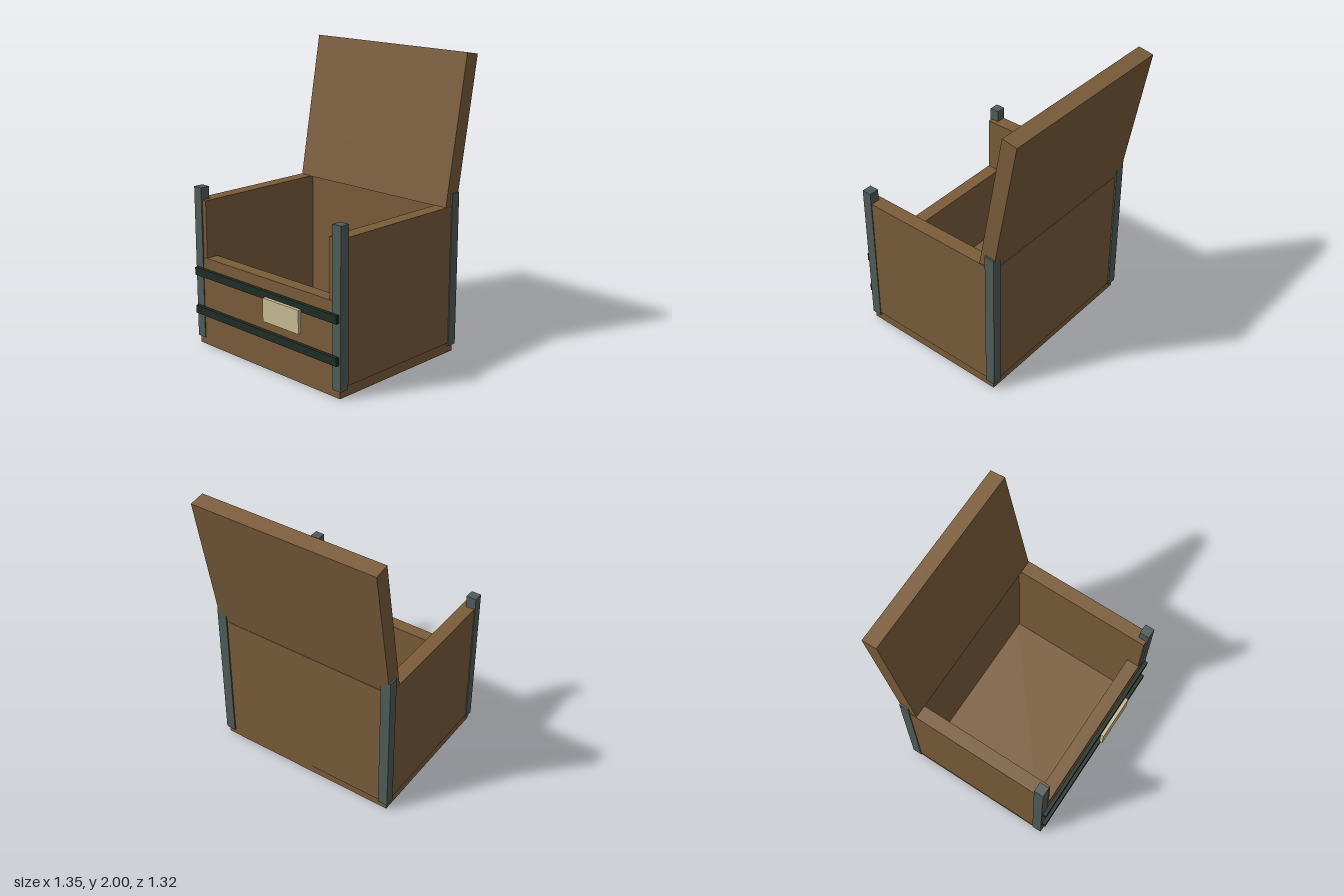
import * as THREE from 'three';

const material = (name, color) => {
  const m = new THREE.MeshStandardMaterial({ color });
  m.name = name;
  return m;
};

export function createModel() {
  const wood = material('brown wood', 0x7a5c3a);
  const iron = material('grey iron', 0x505c59);
  const dark = material('dark green metal', 0x1f2d24);
  const paper = material('cream paper', 0xc8bb94);
  const crate = new THREE.Group();
  crate.name = 'openCrate';

  // Box given by its lower and upper corners
  const box = (name, mat, [x0, y0, z0], [x1, y1, z1]) => {
    const mesh = new THREE.Mesh(new THREE.BoxGeometry(x1 - x0, y1 - y0, z1 - z0), mat);
    mesh.position.set((x0 + x1) / 2, (y0 + y1) / 2, (z0 + z1) / 2);
    mesh.name = name;
    crate.add(mesh);
  };

  // Floor and walls, the front wall being lower
  box('floor', wood, [-0.66, 0, -0.478], [0.66, 0.07, 0.6]);
  box('frontWall', wood, [-0.61, 0.057, 0.512], [0.61, 0.62, 0.604]);
  box('backWall', wood, [-0.61, 0.057, -0.484], [0.61, 1.008, -0.39]);

  for (const [side, s] of [['left', 1], ['right', -1]]) {
    const xs = (a, b) => (s > 0 ? [a, b] : [-b, -a]);
    const [w0, w1] = xs(0.572, 0.668);
    box(side + 'Wall', wood, [w0, 0.07, -0.478], [w1, 1.016, 0.6]);
    // Corner posts
    const [p0, p1] = xs(0.604, 0.674);
    box(side + 'FrontPost', iron, [p0, 0.05, 0.542], [p1, 1.1, 0.61]);
    box(side + 'BackPost', iron, [p0, 0.05, -0.494], [p1, 1.1, -0.425]);
  }

  // Straps across the front and the label plate
  for (const [name, y] of [['lowerStrap', 0.222], ['upperStrap', 0.493]]) {
    box(name, dark, [-0.66, y, 0.61], [0.66, y + 0.054, 0.635]);
  }
  box('labelPlate', paper, [0.038, 0.354, 0.636], [0.362, 0.511, 0.66]);

  // Open lid, hinged at its lower front edge and leaning back
  const lidShape = new THREE.BoxGeometry(1.326, 1.003, 0.108);
  lidShape.translate(0, 0.5015, -0.054);
  const lid = new THREE.Mesh(lidShape, wood);
  lid.name = 'lid';
  lid.position.set(0, 1.013, -0.373);
  lid.rotation.x = -0.178;
  crate.add(lid);

  return crate;
}
